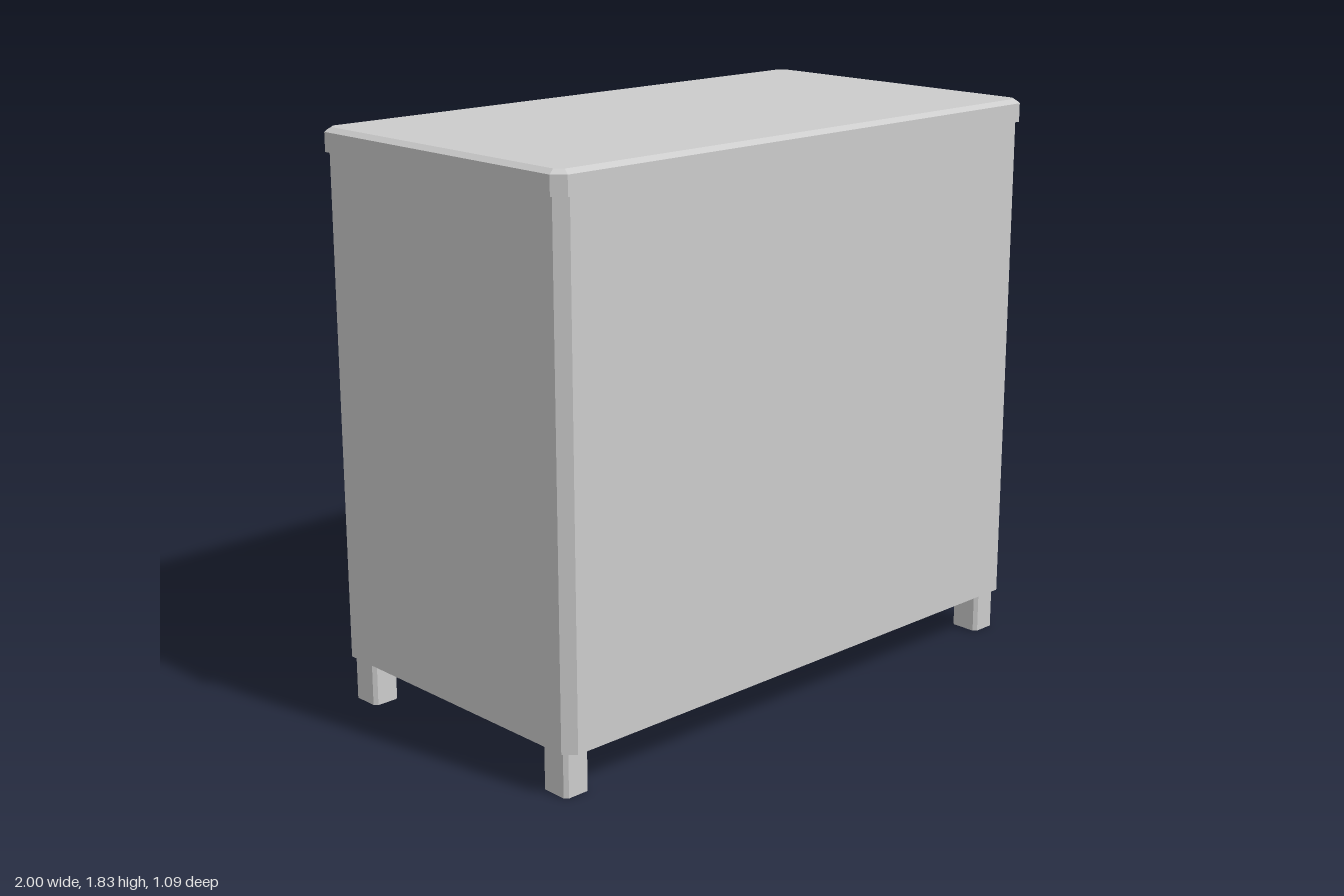
import * as THREE from 'three';
import { ConvexGeometry } from 'three/addons/geometries/ConvexGeometry.js';

const material = new THREE.MeshStandardMaterial({ color: 0xcccccc, flatShading: true });

function add(parent, name, geometry, x = 0, y = 0, z = 0) {
  const mesh = new THREE.Mesh(geometry, material);
  mesh.name = name;
  mesh.position.set(x, y, z);
  parent.add(mesh);
}

// Rectangle of half sizes hx, hz with its four corners cut off by c, at height y
function ring(hx, hz, c, y) {
  const points = [];
  for (const sx of [-1, 1]) {
    for (const sz of [-1, 1]) {
      points.push(new THREE.Vector3(sx * hx, y, sz * (hz - c)));
      points.push(new THREE.Vector3(sx * (hx - c), y, sz * hz));
    }
  }
  return points;
}

export function createModel() {
  const model = new THREE.Group();
  model.name = 'cabinet';

  const hx = 0.988, hz = 0.541, cut = 0.034;
  const bottom = 0.143, top = 1.755, board = 0.04;
  const openX = 0.785, innerFront = 0.5;

  // Closed front and thick sides, U-shaped in plan (shape y is -z)
  const plan = new THREE.Shape([
    [-hx + cut, -hz], [hx - cut, -hz], [hx, -hz + cut], [hx, hz - cut], [hx - cut, hz],
    [openX, hz], [openX, -innerFront], [-openX, -innerFront], [-openX, hz],
    [-hx + cut, hz], [-hx, hz - cut], [-hx, -hz + cut],
  ].map(([x, y]) => new THREE.Vector2(x, y)));
  const shell = new THREE.ExtrudeGeometry(plan, { depth: top - bottom, bevelEnabled: false });
  shell.rotateX(-Math.PI / 2);
  add(model, 'carcass', shell, 0, bottom, 0);

  // Floor, two shelves and ceiling, open at the back
  const step = (top - bottom - board) / 3;
  const depth = hz + innerFront;
  ['floor', 'lowerShelf', 'upperShelf', 'ceiling'].forEach((name, i) => {
    add(model, name, new THREE.BoxGeometry(2 * openX, board, depth),
      0, bottom + board / 2 + i * step, innerFront - depth / 2);
  });

  // Overhanging top with a bevelled upper edge
  add(model, 'tabletop', new ConvexGeometry([
    ...ring(1, 0.547, 0.034, top),
    ...ring(1, 0.547, 0.034, 1.815),
    ...ring(0.98, 0.527, 0.022, 1.828),
  ]));

  // Four short legs with trimmed corners
  for (const sx of [-1, 1]) {
    for (const sz of [-1, 1]) {
      const name = (sz > 0 ? 'front' : 'back') + (sx > 0 ? 'Left' : 'Right') + 'Leg';
      add(model, name, new ConvexGeometry([
        ...ring(0.046, 0.052, 0.011, 0),
        ...ring(0.046, 0.052, 0.011, bottom),
      ]), sx * 0.93, 0, sz * 0.459);
    }
  }
  return model;
}
